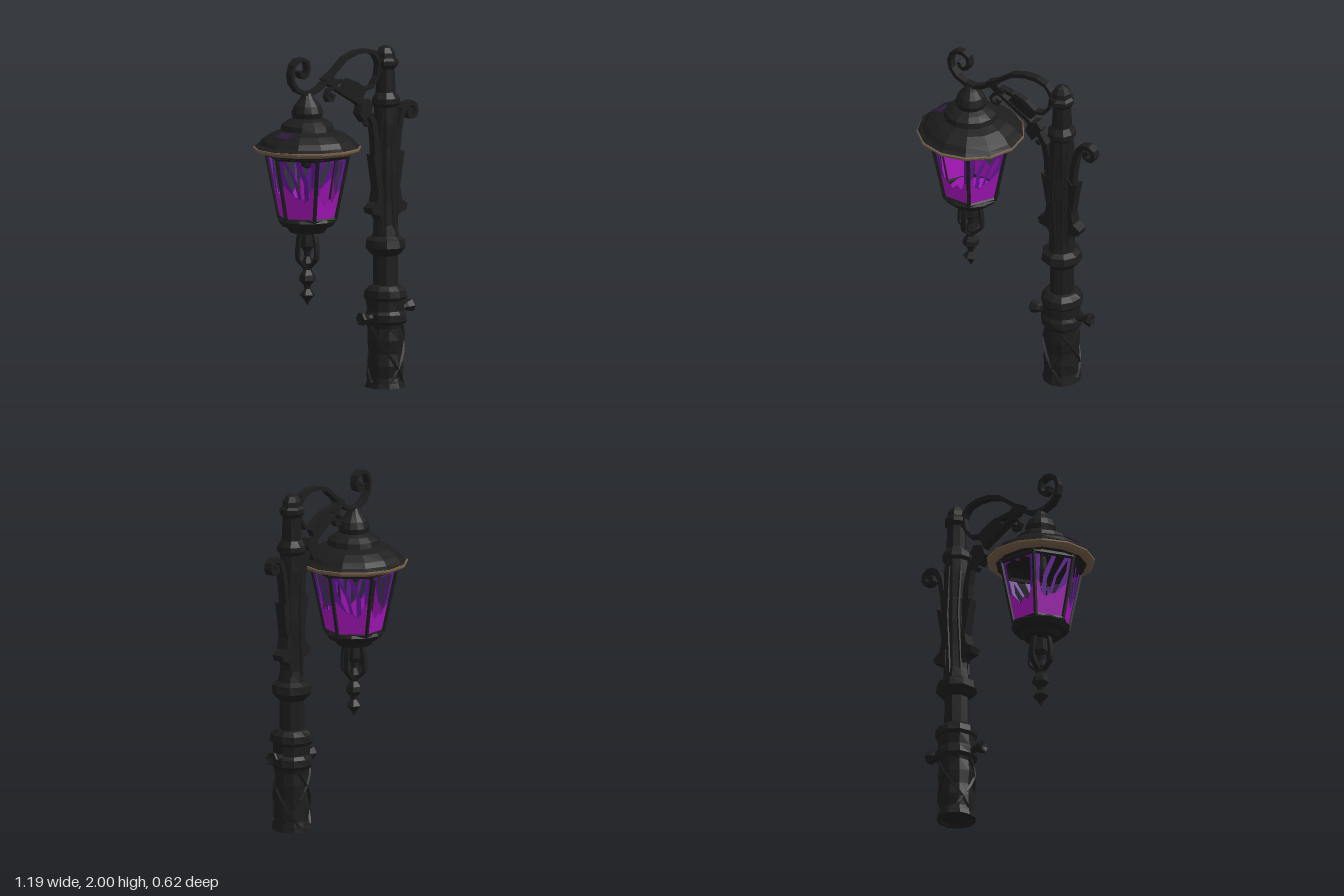
import * as THREE from 'three';

function paint(name, color) {
  const m = new THREE.MeshStandardMaterial({ color, flatShading: true, side: THREE.DoubleSide });
  m.name = name;
  return m;
}
const iron = paint('black iron', 0x1d1d1d);
const bronze = paint('worn bronze', 0x705b47);
const purple = paint('purple glass', 0xa415b8);
const violet = paint('violet glass', 0x66169a);
const dusk = paint('dusky violet', 0x2d1b3a);

const POST_X = 0.345, LAMP_X = -0.287;
const v2 = (list) => list.map(([x, y]) => new THREE.Vector2(x, y));

function add(parent, name, geometry, material = iron) {
  const mesh = new THREE.Mesh(geometry, material);
  mesh.name = name;
  parent.add(mesh);
  return mesh;
}

// Turned part from [radius, y] pairs; rough makes the surface look hammered
function turned(parent, name, profile, sides, material = iron, rough = 0) {
  const g = new THREE.LatheGeometry(v2(profile), sides);
  const p = g.attributes.position;
  for (let i = 0; i < p.count; i++) {
    const x = p.getX(i), y = p.getY(i), z = p.getZ(i);
    const k = 1 + rough * Math.sin(x * 61 + y * 37 + z * 83);
    p.setXYZ(i, x * k, y, z * k);
  }
  g.computeVertexNormals();
  return add(parent, name, g, material);
}

// Flat plate in the xy plane, centred on z = 0
function plate(parent, name, pts, depth) {
  const g = new THREE.ExtrudeGeometry(new THREE.Shape(v2(pts)), { depth, bevelEnabled: false });
  g.translate(0, 0, -depth / 2);
  return add(parent, name, g);
}

// Iron strap following a curve, tapering from thickness t0 to t1
function strap(parent, name, pts, t0, t1, depth, steps = pts.length) {
  const curve = new THREE.SplineCurve(v2(pts));
  const a = [], b = [];
  for (let i = 0; i <= steps; i++) {
    const t = i / steps, p = curve.getPoint(t), d = curve.getTangent(t);
    const h = THREE.MathUtils.lerp(t0, t1, t) / 2;
    a.push([p.x - d.y * h, p.y + d.x * h]);
    b.unshift([p.x + d.y * h, p.y - d.x * h]);
  }
  return plate(parent, name, a.concat(b), depth);
}

// Slim bar between two points
function bar(parent, name, a, b, w) {
  const m = add(parent, name, new THREE.CylinderGeometry(w / 2, w / 2, a.distanceTo(b), 5));
  m.position.copy(a).lerp(b, 0.5);
  m.quaternion.setFromUnitVectors(new THREE.Vector3(0, 1, 0), b.clone().sub(a).normalize());
}

function buildPost() {
  const post = new THREE.Group();
  post.name = 'post';
  post.position.x = POST_X;
  turned(post, 'postBase', [[0, 0.015], [0.09, 0.015], [0.1, 0], [0.118, 0], [0.11, 0.03], [0.102, 0.06], [0.106, 0.13], [0.1, 0.2],
    [0.107, 0.28], [0.103, 0.35], [0.108, 0.37], [0.124, 0.39], [0.12, 0.43], [0.108, 0.45], [0.112, 0.51], [0.126, 0.53],
    [0.117, 0.57], [0.09, 0.595], [0.074, 0.6]], 11, iron, 0.035);
  turned(post, 'postShaft', [[0.074, 0.59], [0.073, 0.77], [0.09, 0.785], [0.12, 0.82], [0.113, 0.865], [0.08, 0.885],
    [0.07, 0.95], [0.066, 1.1], [0.072, 1.25], [0.066, 1.4], [0.072, 1.55], [0.07, 1.64], [0.084, 1.66], [0.082, 1.69],
    [0.058, 1.725], [0.054, 1.86]], 9, iron, 0.03);
  turned(post, 'postCap', [[0.054, 1.86], [0.074, 1.885], [0.074, 1.91], [0.058, 1.925], [0.055, 1.955], [0.035, 1.985], [0, 2]], 7);

  // Crossing vines carved around the base
  for (let k = 0; k < 6; k++) {
    const dir = k % 2 ? 1 : -1, pts = [];
    for (let i = 0; i <= 6; i++) {
      const a = k * 1.05 + dir * i * 0.36, r = 0.103;
      pts.push(new THREE.Vector3(r * Math.cos(a), 0.03 + i * 0.055, r * Math.sin(a)));
    }
    add(post, 'baseVine', new THREE.TubeGeometry(new THREE.CatmullRomCurve3(pts), 8, 0.01, 4));
  }
  // Raised ribs along the upper shaft
  for (let k = 0; k < 6; k++) {
    const a = k * Math.PI / 3 + 0.5, at = (r, y, s) => new THREE.Vector3(r * Math.cos(a + s), y, r * Math.sin(a + s));
    bar(post, 'shaftRib', at(0.067, 0.92, 0), at(0.068, 1.3, 0.25), 0.018);
    bar(post, 'shaftRib', at(0.068, 1.3, 0.25), at(0.066, 1.6, 0), 0.018);
  }
  // Side pegs with flared ends
  for (const [side, y, len, tilt] of [[-1, 0.415, 0.205, 0], [1, 0.43, 0.212, 0.14]]) {
    const peg = turned(post, 'peg', [[0, 0.05], [0.026, 0.05], [0.02, len - 0.06], [0.03, len - 0.045], [0.042, len - 0.01],
      [0.036, len], [0, len - 0.01]], 6);
    peg.position.y = y;
    peg.rotation.z = -side * (Math.PI / 2 - tilt);
  }
  // Leaves hugging both sides of the shaft
  for (const s of [-1, 1]) {
    const m = (pts) => pts.map(([x, y]) => [s * x, y]);
    plate(post, 'shaftLeaf', m([[0.04, 1.08], [0.08, 1.12], [0.098, 1.22], [0.125, 1.37], [0.09, 1.355], [0.05, 1.4]]), 0.06);
    plate(post, 'shaftLeafLow', m([[0.03, 0.93], [0.08, 1.01], [0.135, 1.025], [0.145, 1.06], [0.1, 1.09], [0.078, 1.2], [0.03, 1.2]]), 0.07);
  }
  return post;
}

function buildArm() {
  const arm = new THREE.Group();
  arm.name = 'arm';
  // Main bow, ending in the spiral above the lantern
  strap(arm, 'armBow', [[0.3, 1.85], [0.28, 1.91], [0.24, 1.965], [0.14, 1.985], [0.01, 1.955], [-0.12, 1.855], [-0.2, 1.80],
    [-0.285, 1.778], [-0.38, 1.81], [-0.425, 1.88], [-0.41, 1.955], [-0.355, 1.985], [-0.3, 1.965], [-0.295, 1.905],
    [-0.33, 1.88], [-0.36, 1.9], [-0.35, 1.915]], 0.024, 0.024, 0.045, 24);
  strap(arm, 'armBrace', [[0.285, 1.2], [0.26, 1.38], [0.25, 1.5], [0.215, 1.6], [0.13, 1.68], [0.01, 1.745], [-0.14, 1.83]], 0.05, 0.018, 0.045);
  strap(arm, 'armLoop', [[0.28, 1.9], [0.262, 1.81], [0.2, 1.755], [0.12, 1.77], [0.03, 1.815], [-0.14, 1.84]], 0.018, 0.024, 0.04);
  strap(arm, 'armCurl', [[-0.06, 1.80], [-0.13, 1.775], [-0.138, 1.735], [-0.105, 1.715], [-0.08, 1.74], [-0.1, 1.755]], 0.018, 0.018, 0.035);
  // Foliage
  plate(arm, 'armLeaf', [[-0.17, 1.85], [-0.1, 1.885], [-0.09, 1.85], [-0.03, 1.82], [-0.1, 1.8]], 0.05);
  plate(arm, 'armLeaf', [[-0.02, 1.77], [0.03, 1.835], [0.1, 1.81], [0.18, 1.76], [0.14, 1.7], [0.07, 1.71]], 0.035);
  plate(arm, 'armLeaf', [[0.19, 1.7], [0.13, 1.68], [0.11, 1.62], [0.155, 1.565], [0.195, 1.62], [0.22, 1.66]], 0.06);
  plate(arm, 'armBud', [[0.165, 1.555], [0.19, 1.57], [0.205, 1.55], [0.188, 1.535]], 0.025);
  // Scroll on the far side of the post
  strap(arm, 'sideScroll', [[0.405, 1.2], [0.428, 1.42], [0.455, 1.57], [0.495, 1.63], [0.55, 1.64], [0.577, 1.6],
    [0.555, 1.562], [0.515, 1.572], [0.52, 1.605], [0.545, 1.603]], 0.035, 0.024, 0.05, 14);
  return arm;
}

// Lantern window frame: corner at angle index k, height fraction v
function corner(k, v, grow = 0) {
  const a = k * Math.PI / 3, r = THREE.MathUtils.lerp(0.165, 0.245, v) + grow;
  return new THREE.Vector3(r * Math.cos(a), 1.045 + 0.39 * v, r * Math.sin(a));
}

// Glass piece drawn in pane units (u across, v up), mapped onto pane k
function glass(parent, name, k, flip, outline, holes, material) {
  const fix = (list) => v2(list.map(([u, v]) => [flip ? 1 - u : u, v]));
  const shape = new THREE.Shape(fix(outline));
  holes.forEach((h) => shape.holes.push(new THREE.Path(fix(h))));
  const g = new THREE.ShapeGeometry(shape), p = g.attributes.position;
  for (let i = 0; i < p.count; i++) {
    const u = p.getX(i), v = p.getY(i);
    const q = corner(k, v).lerp(corner(k + 1, v), u);
    p.setXYZ(i, q.x, q.y, q.z);
  }
  g.computeVertexNormals();
  add(parent, name, g, material);
}

function buildLantern() {
  const lamp = new THREE.Group();
  lamp.name = 'lantern';
  lamp.position.x = LAMP_X;
  turned(lamp, 'roof', [[0, 1.5], [0.2, 1.46], [0.25, 1.425], [0.27, 1.44], [0.295, 1.46], [0.309, 1.471], [0.285, 1.485], [0.262, 1.515],
    [0.21, 1.55], [0.158, 1.568], [0.15, 1.6], [0.115, 1.625], [0.085, 1.64], [0.092, 1.67], [0.078, 1.71], [0.045, 1.75],
    [0.02, 1.79], [0, 1.795]], 13, iron, 0.012);
  turned(lamp, 'roofRim', [[0.255, 1.433], [0.297, 1.441], [0.315, 1.456], [0.315, 1.466], [0.302, 1.472]], 13, bronze);
  // Faint violet stain on the roof
  const stain = add(lamp, 'roofStain', new THREE.BoxGeometry(0.06, 0.008, 0.09), dusk);
  stain.position.set(-0.203, 1.551, 0.02);
  stain.rotation.z = 0.45;
  turned(lamp, 'lampHolder', [[0, 1.34], [0.035, 1.355], [0.045, 1.4], [0.03, 1.49]], 6);
  turned(lamp, 'cup', [[0, 0.965], [0.1, 0.97], [0.122, 1.0], [0.15, 1.01], [0.172, 1.04], [0.16, 1.055], [0, 1.05]], 12);
  turned(lamp, 'glassFloor', [[0.145, 1.06], [0.06, 1.085], [0, 1.11]], 6, purple);
  turned(lamp, 'finial', [[0, 0.54], [0.02, 0.575], [0.047, 0.605], [0.018, 0.64], [0.022, 0.66], [0.05, 0.69], [0.045, 0.72],
    [0.025, 0.75], [0.035, 0.79], [0.018, 0.83], [0.022, 0.86], [0.042, 0.89], [0.036, 0.98]], 6);

  const bigHole = [[0.16, 0.42], [0.28, 0.27], [0.42, 0.34], [0.6, 0.25], [0.86, 0.42], [0.9, 0.88], [0.64, 0.94], [0.5, 0.88], [0.38, 0.94], [0.12, 0.88]];
  const slits = [
    [[0.12, 0.72], [0.12, 0.9], [0.36, 0.62], [0.46, 0.36], [0.36, 0.38]],
    [[0.2, 0.93], [0.42, 0.93], [0.64, 0.6], [0.66, 0.3], [0.56, 0.36], [0.44, 0.62]],
    [[0.54, 0.92], [0.84, 0.92], [0.86, 0.52], [0.8, 0.36], [0.75, 0.62]],
  ];
  for (let k = 0; k < 6; k++) {
    const front = k % 3 === 1, flip = k === 2 || k === 5;
    const top = front ? [[1, 0.45], [0.86, 0.42], [0.6, 0.25], [0.42, 0.34], [0.28, 0.27], [0.16, 0.42], [0, 0.48]]
      : [[1, 0.55], [0.86, 0.52], [0.8, 0.36], [0.66, 0.3], [0.56, 0.36], [0.46, 0.36], [0.36, 0.38], [0, 0.6]];
    glass(lamp, 'lowerGlass', k, flip, [[0, 0], [1, 0], ...top], [], purple);
    // Upper glass sits just above the jagged edge of the lower glass
    const upper = [...top].reverse().concat([[1, 1], [0, 1]]);
    const holes = front ? [bigHole] : slits;
    const inset = holes.map((h) => h.map(([u, v]) => [u, v + 0.01]));
    glass(lamp, 'upperGlass', k, flip, upper, inset, violet);
    // Frame: corner ribs and rails
    bar(lamp, 'cornerRib', corner(k, 0, 0.002), corner(k, 1, 0.004), 0.024);
    bar(lamp, 'topRail', corner(k, 0.97), corner(k + 1, 0.97), 0.03);
    bar(lamp, 'bottomRail', corner(k, 0.02), corner(k + 1, 0.02), 0.022);
  }
  // Thin brackets below the cup
  for (let k = 0; k < 4; k++) {
    const b = strap(lamp, 'bracket', [[0.055, 0.98], [0.07, 0.93], [0.078, 0.85], [0.07, 0.81], [0.015, 0.765]], 0.014, 0.014, 0.03, 7);
    b.rotation.y = k * Math.PI / 2;
  }
  return lamp;
}

export function createModel() {
  const model = new THREE.Group();
  model.name = 'streetLamp';
  model.add(buildPost(), buildArm(), buildLantern());
  return model;
}
